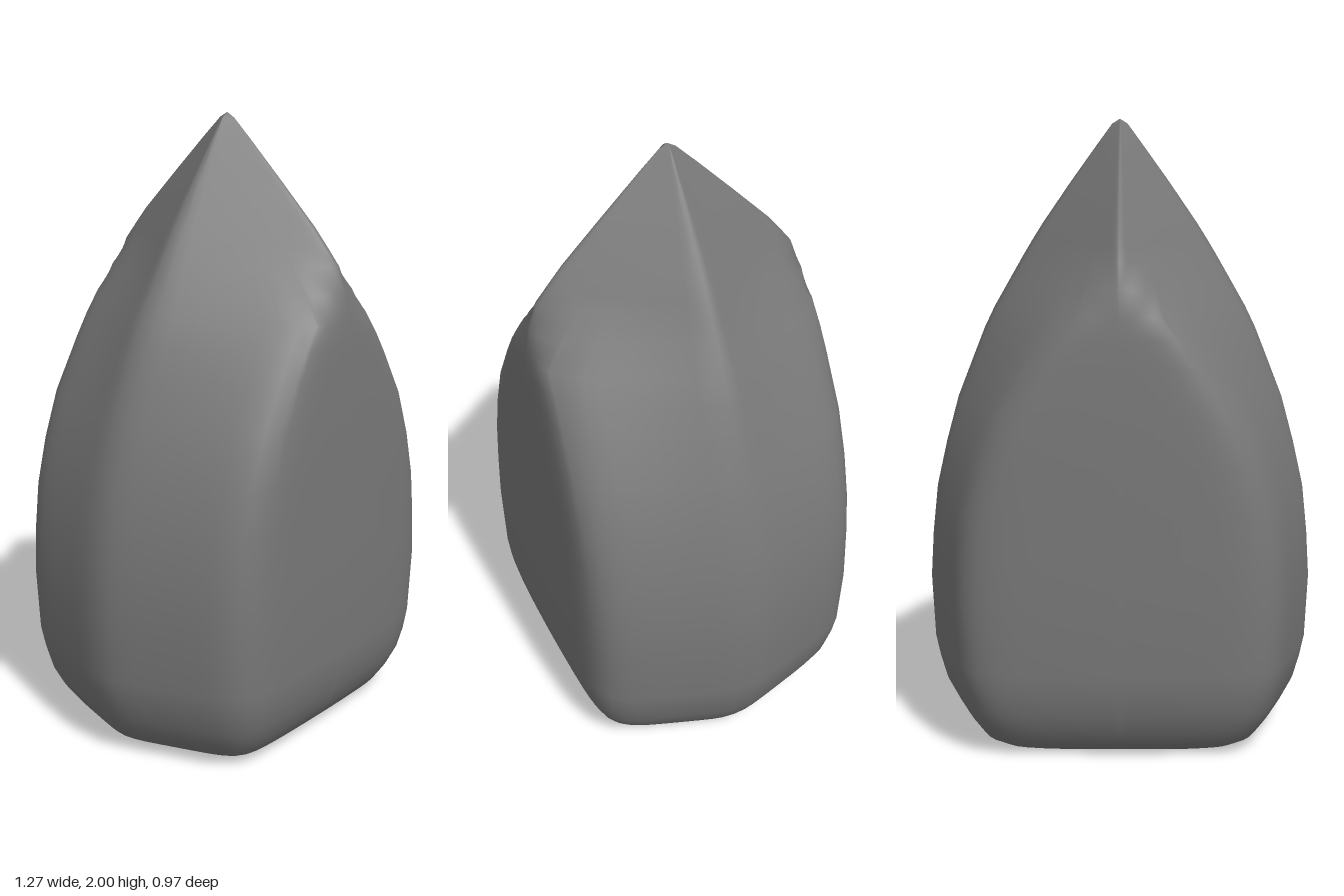
import * as THREE from 'three';

// Cross-sections: height, half width, half depth, taper of the side facets
const SECTIONS = [
  [0, 0.0012, 0.001, 0.335],
  [0.004, 0.42, 0.345, 0.335],
  [0.015, 0.47, 0.368, 0.335],
  [0.04, 0.52, 0.398, 0.335],
  [0.09, 0.558, 0.43, 0.335],
  [0.15, 0.59, 0.456, 0.335],
  [0.22, 0.61, 0.472, 0.335],
  [0.29, 0.625, 0.48, 0.335],
  [0.5, 0.635, 0.487, 0.335],
  [0.65, 0.626, 0.487, 0.335],
  [0.8, 0.61, 0.487, 0.342],
  [0.95, 0.576, 0.487, 0.36],
  [1.1, 0.535, 0.485, 0.4],
  [1.25, 0.476, 0.481, 0.475],
  [1.33, 0.444, 0.478, 0.525],
  [1.4, 0.41, 0.474, 0.575],
  [1.48, 0.364, 0.466, 0.64],
  [1.56, 0.318, 0.468, 0.7],
  [1.61, 0.288, 0.48, 0.72],
  [1.67, 0.25, 0.485, 0.72],
  [1.8, 0.16, 0.485, 0.735],
  [1.92, 0.073, 0.485, 0.76],
  [1.985, 0.025, 0.485, 0.9],
  [2, 0.001, 0.485, 1],
];
const QUARTER = 24;
const SIDES = QUARTER * 4;

// Radius of a six-sided outline with softened corners and a slightly bowed front
function outlineRadius(angle, width, depth, taper) {
  const x = Math.abs(Math.cos(angle));
  const z = Math.abs(Math.sin(angle));
  const soft = 30;
  const near = x + taper * z;
  const mirrored = Math.abs(x - taper * z);
  const side = (near ** soft + mirrored ** soft) ** (1 / soft) / (width * 2 ** (1 / soft));
  const front = Math.hypot(z, 0.22 * x) / depth;
  return (side ** 13 + front ** 13) ** (-1 / 13);
}

// Angles around one section, with a column of points that follows its corners
function ringAngle(i, width, depth, taper) {
  const corner = Math.min(Math.atan2(depth, width - taper * depth), 1.3);
  const half = QUARTER / 2;
  const quarter = Math.floor(i / QUARTER);
  const step = i % QUARTER;
  const k = quarter % 2 ? QUARTER - step : step;
  const angle = k <= half
    ? (corner * k) / half
    : corner + ((Math.PI / 2 - corner) * (k - half)) / half;
  return quarter % 2
    ? ((quarter + 1) * Math.PI) / 2 - angle
    : (quarter * Math.PI) / 2 + angle;
}

function stoneGeometry() {
  const positions = [];
  const indices = [];
  SECTIONS.forEach(([y, ...shape], row) => {
    for (let i = 0; i < SIDES; i++) {
      const angle = ringAngle(i, ...shape);
      const r = outlineRadius(angle, ...shape);
      positions.push(r * Math.cos(angle), y, r * Math.sin(angle));
      if (row === 0) continue;
      const next = (i + 1) % SIDES;
      const a = (row - 1) * SIDES + i;
      const b = (row - 1) * SIDES + next;
      const c = row * SIDES + i;
      const d = row * SIDES + next;
      // Mirror the diagonals so that all quarters match
      if (Math.floor(i / QUARTER) % 2) indices.push(a, c, d, a, d, b);
      else indices.push(a, c, b, b, c, d);
    }
  });
  const geometry = new THREE.BufferGeometry();
  geometry.setAttribute('position', new THREE.Float32BufferAttribute(positions, 3));
  geometry.setIndex(indices);
  geometry.computeVertexNormals();
  return geometry;
}

export function createModel() {
  const group = new THREE.Group();
  group.name = 'pointedStone';
  const grey = new THREE.MeshStandardMaterial({ color: 0x787878 });
  grey.name = 'stone grey';

  // Faceted stone with a flat base and a pointed tip
  const stone = new THREE.Mesh(stoneGeometry(), grey);
  stone.name = 'stone';
  group.add(stone);
  return group;
}
